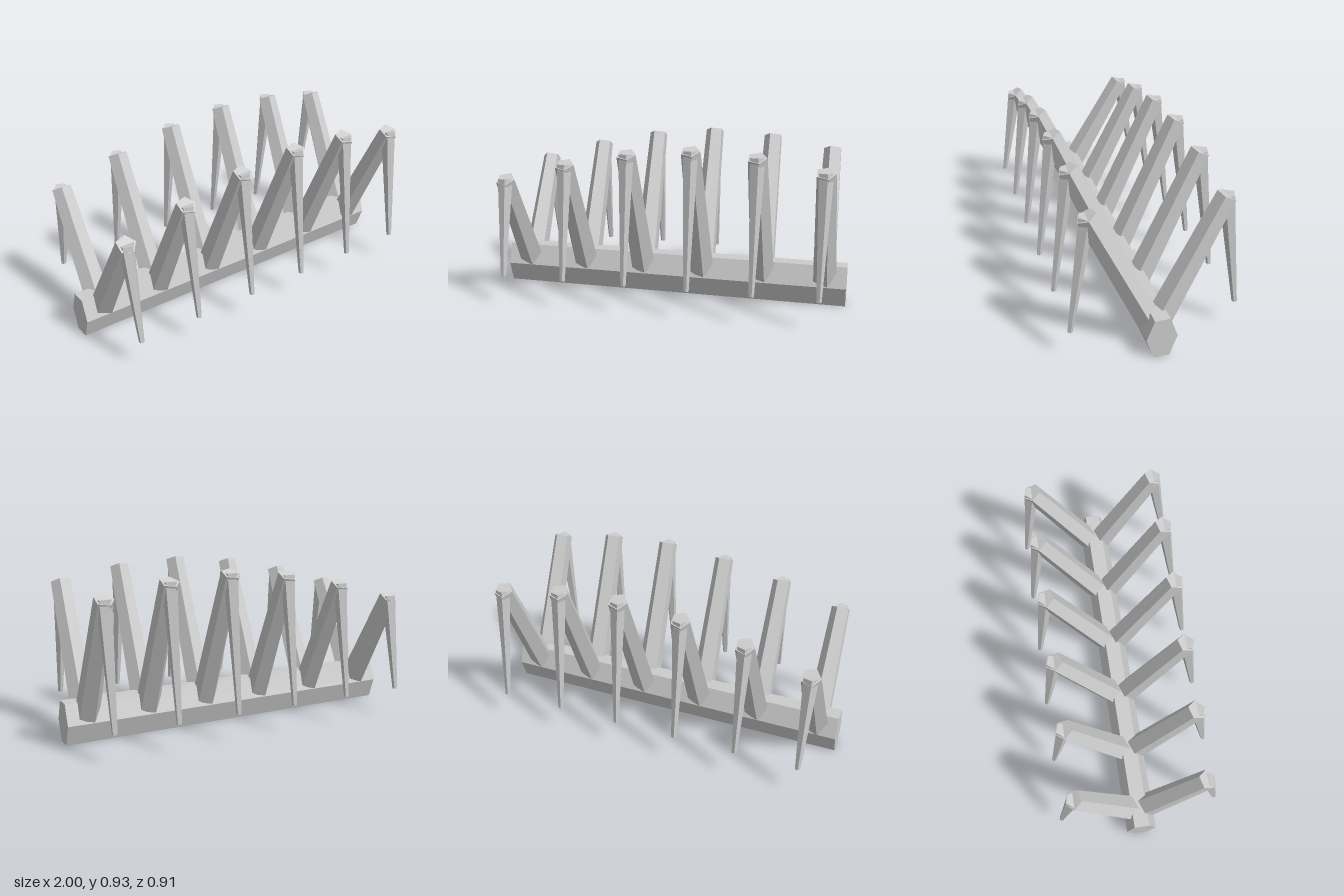
import * as THREE from 'three';

export function createModel() {
  const model = new THREE.Group();
  model.name = 'leggedBeam';
  const grey = new THREE.MeshStandardMaterial({ color: 0xcccccc });
  grey.name = 'grey';

  // Hard-edged faces for the low-poly look
  const facet = (geometry) => {
    const flat = geometry.toNonIndexed();
    flat.computeVertexNormals();
    return flat;
  };

  // Five-sided tapered bar from a to b, with one ridge towards +x
  const up = new THREE.Vector3(0, 1, 0);
  function bar(name, a, b, radiusA, radiusB) {
    const span = b.clone().sub(a);
    const geometry = new THREE.CylinderGeometry(radiusB, radiusA, span.length(), 5);
    geometry.rotateY(Math.PI / 2);
    geometry.applyQuaternion(new THREE.Quaternion().setFromUnitVectors(up, span.normalize()));
    const mid = a.clone().add(b).multiplyScalar(0.5);
    geometry.translate(mid.x, mid.y, mid.z);
    const mesh = new THREE.Mesh(facet(geometry), grey);
    mesh.name = name;
    return mesh;
  }

  // Hexagonal beam lying along x
  const beamGeometry = new THREE.CylinderGeometry(1, 1, 2, 6);
  beamGeometry.rotateZ(Math.PI / 2);
  beamGeometry.scale(1, 0.115 / Math.sin(Math.PI / 3), 0.083);
  beamGeometry.translate(0, 0.115, 0);
  const beam = new THREE.Mesh(facet(beamGeometry), grey);
  beam.name = 'beam';
  model.add(beam);

  // Six pairs of jointed legs with varying knee heights
  const kneeHeights = [0.7, 0.8, 0.872, 0.905, 0.885, 0.822];
  kneeHeights.forEach((height, i) => {
    for (const side of ['front', 'back']) {
      const leg = new THREE.Group();
      leg.name = `${side}Leg${i + 1}`;
      const hip = new THREE.Vector3(0, 0.15, 0.03);
      const knee = new THREE.Vector3(0, height, 0.352);
      const tip = new THREE.Vector3(0, 0.163, 0.443);
      leg.add(bar('upperLeg', hip, knee, 0.07, 0.054));
      leg.add(bar('lowerLeg', knee, tip, 0.042, 0.015));
      leg.position.x = -0.875 + i * 0.35;
      if (side === 'back') leg.rotation.y = Math.PI;
      model.add(leg);
    }
  });
  return model;
}
